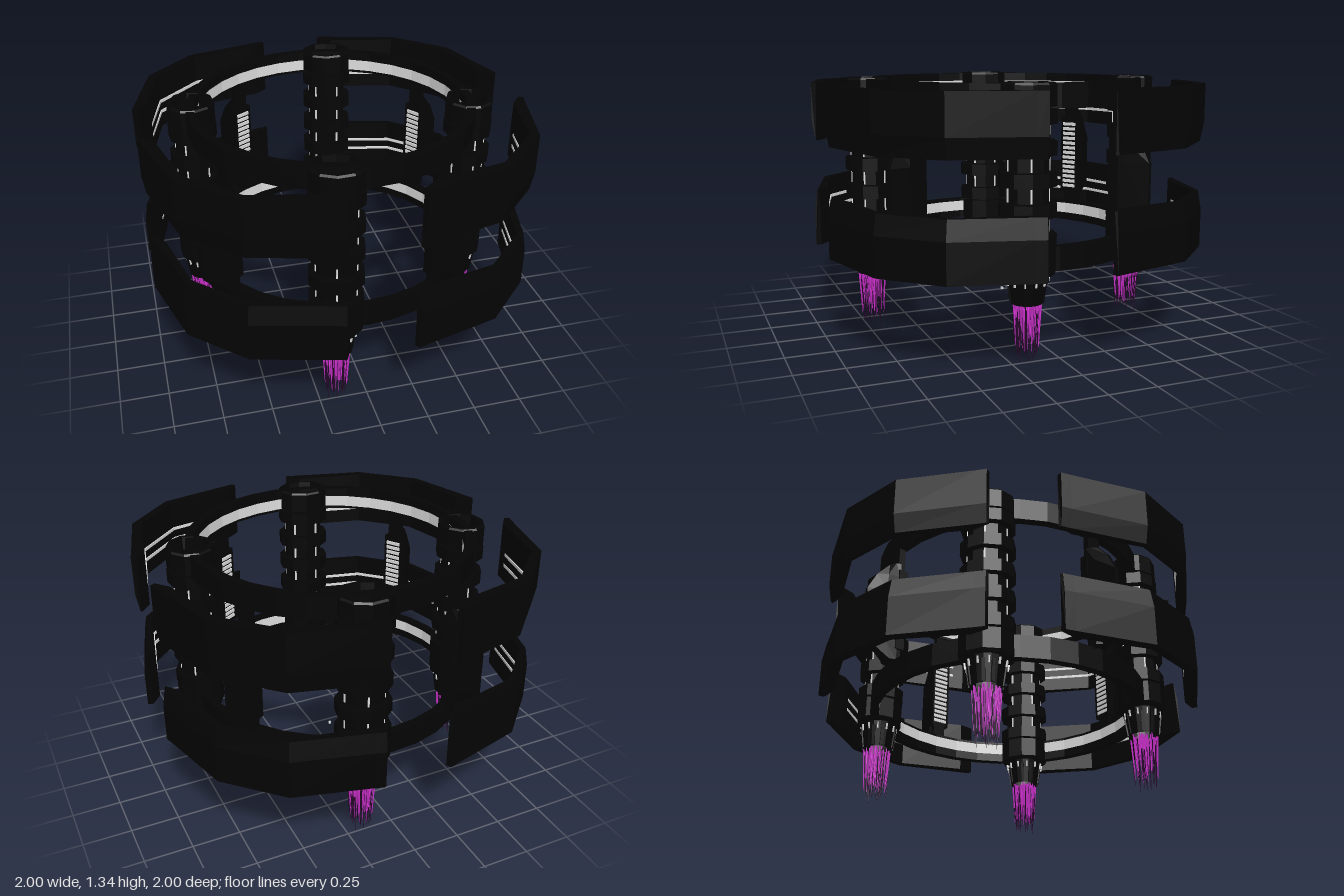
import * as THREE from 'three';
import { mergeGeometries } from 'three/addons/utils/BufferGeometryUtils.js';

const mat = (name, color, opts = {}) => {
  const m = new THREE.MeshStandardMaterial({ color, ...opts });
  m.name = name;
  return m;
};

// Skin a list of equal-sized closed rings of [x, y, z] points and cap both ends
function loft(rings) {
  const n = rings[0].length, pos = [];
  const tri = (a, b, c) => pos.push(...a, ...b, ...c);
  for (let i = 0; i < rings.length - 1; i++) {
    for (let k = 0; k < n; k++) {
      const l = (k + 1) % n, A = rings[i], B = rings[i + 1];
      tri(A[k], B[k], B[l]);
      tri(A[k], B[l], A[l]);
    }
  }
  const first = rings[0], last = rings[rings.length - 1];
  for (let k = 1; k < n - 1; k++) {
    tri(first[0], first[k], first[k + 1]);
    tri(last[0], last[k + 1], last[k]);
  }
  const g = new THREE.BufferGeometry();
  g.setAttribute('position', new THREE.Float32BufferAttribute(pos, 3));
  g.computeVertexNormals();
  return g;
}

const lathe = (pts, sides) =>
  new THREE.LatheGeometry(pts.map(([r, y]) => new THREE.Vector2(r, y)), sides);

// Plan outlines of one armour panel: half, then its mirror across the diagonal
const mirrorPlan = half => [...half, ...half.map(([x, z]) => [z, x]).reverse()];
const OUTER = mirrorPlan([[0.18, 1.0], [0.23, 0.985], [0.62, 0.88]]);
const INNER = mirrorPlan([[0.165, 0.975], [0.235, 0.918], [0.6, 0.835]]);
const STRIP = mirrorPlan([[0.3, 0.908], [0.6, 0.835]]);

// Armour panel between y0 and y1; the outside leans in at the end facing mid-height
function panelGeometry(y0, y1, taperTop) {
  const lo = taperTop ? 1 : 0.983, hi = taperTop ? 0.983 : 1;
  const mid = taperTop ? y1 - 0.1 : y0 + 0.1;
  return loft(OUTER.map(([x, z], i) => {
    const [u, w] = INNER[i];
    return [[x * lo, y0, z * lo], [x, mid, z], [x * hi, y1, z * hi], [u, y1, w], [u, y0, w]];
  }));
}

// Thin light strip following the inside of a panel
function stripGeometry(y, h) {
  return loft(STRIP.map(([x, z]) => {
    const a = 0.999, b = 0.993;
    return [[x * a, y, z * a], [x * a, y + h, z * a], [x * b, y + h, z * b], [x * b, y, z * b]];
  }));
}

// Thin vertical exhaust strands with seeded variation
function strands(count, seed, { top, topSpread, low, range, inner }) {
  let s = seed;
  const rnd = () => (s = (s * 16807) % 2147483647) / 2147483647;
  const list = [];
  for (let i = 0; i < count; i++) {
    const a = rnd() * Math.PI * 2, k = Math.sqrt(inner + (1 - inner) * rnd());
    const y1 = top - topSpread * rnd(), y0 = low + range * rnd();
    const g = new THREE.CylinderGeometry(0.0036, 0.0015, y1 - y0, 3);
    g.rotateZ(-0.06 * Math.sin(a) * k);
    g.rotateX(0.06 * Math.cos(a) * k);
    g.translate(Math.sin(a) * k * 0.066, (y1 + y0) / 2, Math.cos(a) * k * 0.066);
    list.push(g);
  }
  return mergeGeometries(list);
}

export function createModel() {
  const black = mat('hull black', 0x040404, { flatShading: true });
  const dark = mat('nozzle black', 0x030303, { flatShading: true, side: THREE.DoubleSide });
  const grey = mat('light grey', 0xe0e0e0, { flatShading: true });
  const magenta = mat('exhaust magenta', 0xe838e8);
  const plum = mat('exhaust plum', 0x2c0a30);

  const model = new THREE.Group();
  const add = (parent, name, geo, m) => {
    const mesh = new THREE.Mesh(geo, m);
    mesh.name = name;
    parent.add(mesh);
    return mesh;
  };
  const box = (w, h, d, x, y, z) => new THREE.BoxGeometry(w, h, d).translate(x, y, z);

  // Two inner support rings, each with a light band on its inside
  for (const [name, y0, y1, s0, s1] of [
    ['lowerRing', 0.44, 0.56, 0.485, 0.545], ['upperRing', 1.22, 1.34, 1.235, 1.295]]) {
    add(model, name, lathe([[0.7, y0], [0.745, y0], [0.745, y1], [0.7, y1], [0.7, y0]], 32), black);
    add(model, name + 'Light', lathe([[0.697, s1], [0.697, s0]], 32), grey);
  }
  add(model, 'centreMarker', box(0.012, 0.012, 0.012, 0, 0.16, 0), grey);

  // Engine pillar: base cap, five collars with recesses between, hollow top cap
  const profile = [[0, 0.43], [0.118, 0.43], [0.126, 0.445], [0.126, 0.555], [0.096, 0.555]];
  const recesses = [];
  for (let i = 0; i < 5; i++) {
    const c = 0.6 + 0.147 * i;
    profile.push([0.096, c - 0.037], [0.129, c - 0.034], [0.129, c + 0.034], [0.096, c + 0.037]);
    if (i < 4) recesses.push(c + 0.0735);
  }
  profile.push([0.096, 1.235], [0.126, 1.235], [0.126, 1.335], [0.118, 1.345], [0.098, 1.345],
    [0.09, 1.28], [0.055, 1.28], [0.05, 1.3], [0.022, 1.3], [0.02, 1.32], [0, 1.32]);
  const pillarGeo = lathe(profile, 10);

  // Light slits in the pillar recesses and round the nozzle collar
  const around = (count, y, r, w, h, tilt = 0, phase = 0) => Array.from({ length: count }, (_, i) =>
    new THREE.BoxGeometry(w, h, 0.008).rotateX(tilt).translate(0, y, r)
      .rotateY((i + phase) / count * Math.PI * 2));
  const slitGeo = mergeGeometries([
    ...recesses.flatMap(y => around(5, y, 0.094, 0.008, 0.066)),
    ...around(12, 0.4, 0.094, 0.007, 0.034, 0.15, 0.5),
  ]);
  const nozzleGeo = new THREE.CylinderGeometry(0.098, 0.078, 0.145, 16, 1, true).translate(0, 0.362, 0);
  const ribGeo = mergeGeometries(around(12, 0.35, 0.088, 0.016, 0.11, 0.14));

  // Bright strands fill the upper plume, dark ones its outside and tips
  const brightGeo = strands(75, 4211, { top: 0.3, topSpread: 0.03, low: 0.05, range: 0.13, inner: 0 });
  const plumGeo = strands(38, 977, { top: 0.29, topSpread: 0.15, low: 0, range: 0.09, inner: 0.3 });

  // Fin on the outside of the rings, tapering to a thin edge, with chamfered ends
  const finGeo = loft([[0.56, 0.79], [0.66, 0.9], [0.94, 0.9], [1.04, 0.85], [1.12, 0.78]].map(([y, tip]) =>
    [[-0.05, 0.735], [0.05, 0.735], [0.04, Math.min(0.8, tip - 0.02)], [0.008, tip],
      [-0.012, tip], [-0.04, Math.min(0.78, tip - 0.02)]].map(([x, z]) => [x, y, z])));
  const postGeo = box(0.075, 0.68, 0.035, 0, 0.89, 0.725);

  // Vent on the inner face of the fin: light slats recessed between two rails
  const housingGeo = mergeGeometries([
    box(0.11, 0.46, 0.03, 0, 0.85, 0.73),
    ...[-1, 1].map(s => box(0.01, 0.46, 0.02, s * 0.05, 0.85, 0.707)),
  ]);
  const slatGeo = mergeGeometries(Array.from({ length: 14 }, (_, i) =>
    box(0.088, 0.018, 0.012, 0, 0.655 + i * 0.0292, 0.706)));

  // Armour panels and their inner strips
  const panels = [
    ['upperPanel', panelGeometry(1.02, 1.32, false), [1.1, 1.16]],
    ['lowerPanel', panelGeometry(0.46, 0.76, true), [0.58, 0.64]],
  ].map(([name, geo, ys]) => [name, geo, mergeGeometries(ys.map(y => stripGeometry(y, 0.016)))]);

  // Four identical quarters
  for (let q = 0; q < 4; q++) {
    const quarter = new THREE.Group();
    quarter.name = 'quarter' + (q + 1);
    quarter.rotation.y = q * Math.PI / 2;
    model.add(quarter);

    for (const [name, geo, strips] of panels) {
      add(quarter, name, geo, black);
      add(quarter, name + 'Strips', strips, grey);
    }

    const pod = new THREE.Group();
    pod.name = 'enginePod';
    pod.position.set(-0.155, 0, 0.705);
    pod.rotation.y = -0.217;
    quarter.add(pod);
    add(pod, 'pillar', pillarGeo, black).scale.set(1.1, 1, 0.98);
    add(pod, 'slits', slitGeo, grey).scale.set(1.1, 1, 1);
    add(pod, 'nozzle', nozzleGeo, dark);
    add(pod, 'nozzleRibs', ribGeo, dark);
    add(pod, 'exhaust', brightGeo, magenta);
    add(pod, 'exhaustShade', plumGeo, plum);

    const fin = new THREE.Group();
    fin.name = 'finAssembly';
    fin.rotation.y = 0.56;
    quarter.add(fin);
    add(fin, 'fin', finGeo, black);
    add(fin, 'post', postGeo, black);
    add(fin, 'ventHousing', housingGeo, black);
    add(fin, 'ventSlats', slatGeo, grey);
  }
  return model;
}
